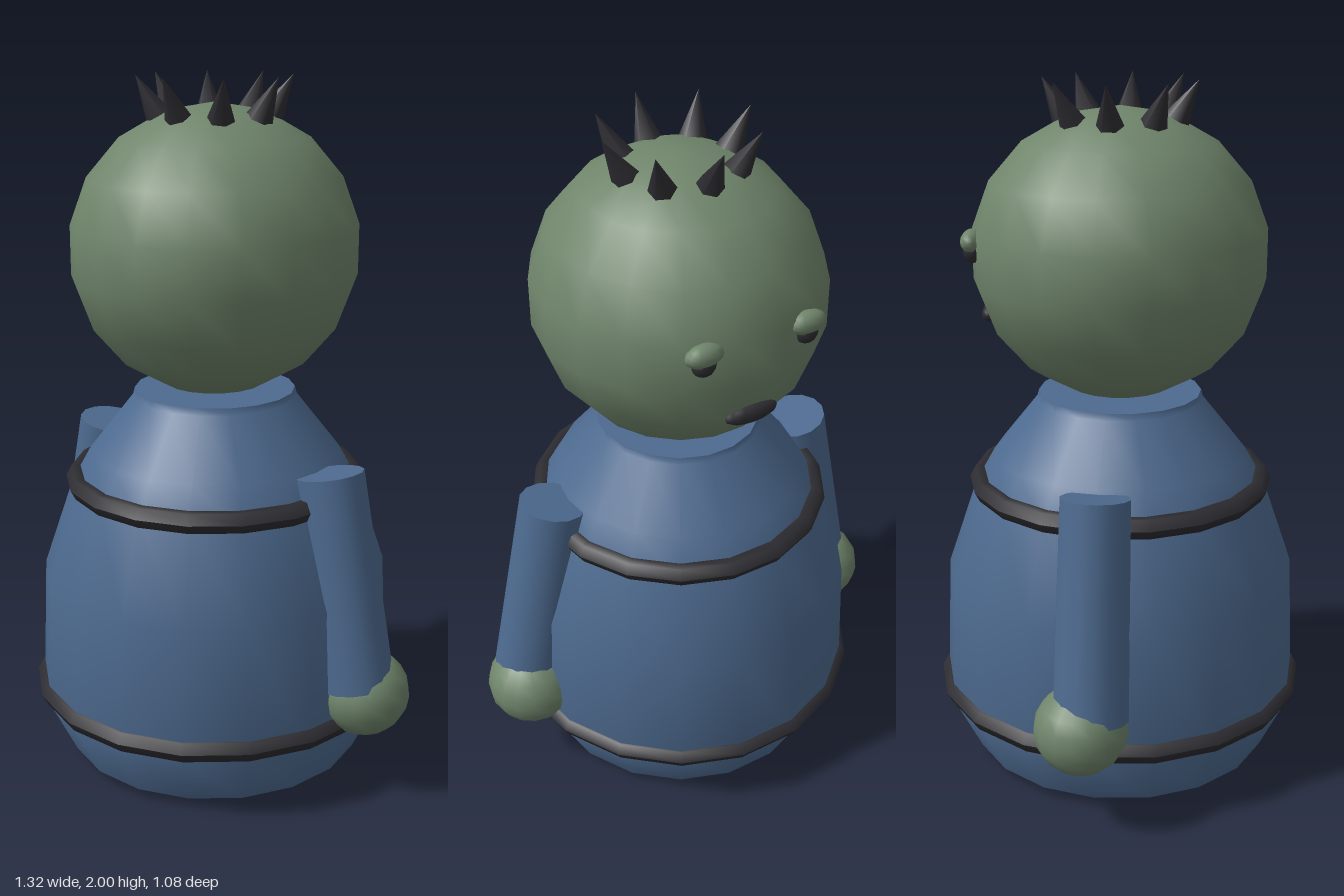
import * as THREE from 'three';

const mat = (name, color) => {
  const m = new THREE.MeshStandardMaterial({ color });
  m.name = name;
  return m;
};

export function createModel() {
  const skin = mat('sage skin', 0x6f856b);
  const cloth = mat('blue cloth', 0x4d6a8f);
  const dark = mat('charcoal', 0x2d2c31);
  const root = new THREE.Group();
  root.name = 'figure';

  const add = (name, geometry, material, x = 0, y = 0, z = 0) => {
    const mesh = new THREE.Mesh(geometry, material);
    mesh.name = name;
    mesh.position.set(x, y, z);
    root.add(mesh);
    return mesh;
  };
  const blob = (name, material, pos, radii, w = 16, h = 10) => {
    const mesh = add(name, new THREE.SphereGeometry(1, w, h), material, ...pos);
    mesh.scale.set(...radii);
    return mesh;
  };
  // 18-sided turned part, slightly narrower across than deep
  const turned = (name, points, material) => {
    const profile = points.map(([r, y]) => new THREE.Vector2(r, y));
    const mesh = add(name, new THREE.LatheGeometry(profile, 18, Math.PI / 18), material);
    mesh.scale.x = 0.98;
    return mesh;
  };

  // Robe
  turned('robe', [[0.447, 0.03], [0.53, 0.2], [0.513, 0.58], [0.424, 0.84], [0.368, 0.94], [0.24, 1.1], [0.235, 1.12]], cloth);
  turned('robeBottom', [[0, 0.03], [0.447, 0.03]], cloth);
  turned('robeCollarTop', [[0.235, 1.12], [0, 1.12]], cloth);

  // Trim bands around the robe
  const band = (name, radius, y) => {
    const ring = [];
    for (let i = 0; i <= 6; i++) {
      const a = (i / 6) * Math.PI * 2;
      ring.push([radius + Math.cos(a) * 0.031, y + Math.sin(a) * 0.033]);
    }
    turned(name, ring, dark);
  };
  band('hemBand', 0.518, 0.225);
  band('chestBand', 0.412, 0.853);

  // Head
  blob('head', skin, [0, 1.52, 0], [0.407, 0.407, 0.42], 18, 9);

  // Crown of spikes
  const up = new THREE.Vector3(0, 1, 0);
  for (let i = 0; i < 8; i++) {
    const a = (i / 8) * Math.PI * 2;
    const base = new THREE.Vector3(Math.sin(a) * 0.143, 1.87, Math.cos(a) * 0.143);
    const tip = new THREE.Vector3(Math.sin(a) * 0.217, 2, Math.cos(a) * 0.217);
    const dir = tip.clone().sub(base);
    const cone = new THREE.ConeGeometry(0.045, dir.length(), 6);
    const spike = add('hairSpike', cone, dark);
    spike.position.copy(base).lerp(tip, 0.5);
    spike.quaternion.setFromUnitVectors(up, dir.normalize());
  }

  // Mirrored limbs and eyes
  for (const s of [-1, 1]) {
    const side = s > 0 ? 'left' : 'right';
    const top = new THREE.Vector3(s * 0.41, 0.943, 0.003);
    const end = new THREE.Vector3(s * 0.525, 0.34, 0.008);
    const axis = top.clone().sub(end);
    const arm = add(side + 'Arm', new THREE.CylinderGeometry(0.097, 0.106, axis.length(), 14), cloth);
    arm.position.copy(top).lerp(end, 0.5);
    arm.quaternion.setFromUnitVectors(up, axis.normalize());
    blob(side + 'Hand', skin, [s * 0.53, 0.31, -0.018], [0.132, 0.125, 0.132]);
    blob(side + 'Foot', dark, [s * 0.2, 0.06, -0.1], [0.13, 0.06, 0.18]);
    blob(side + 'Eye', dark, [s * 0.153, 1.545, -0.382], [0.034, 0.034, 0.028], 12, 8);
    blob(side + 'Eyelid', skin, [s * 0.153, 1.573, -0.385], [0.056, 0.032, 0.03], 12, 8);
  }

  // Mouth
  blob('mouth', dark, [0, 1.34, -0.373], [0.08, 0.028, 0.024], 12, 8);

  return root;
}
